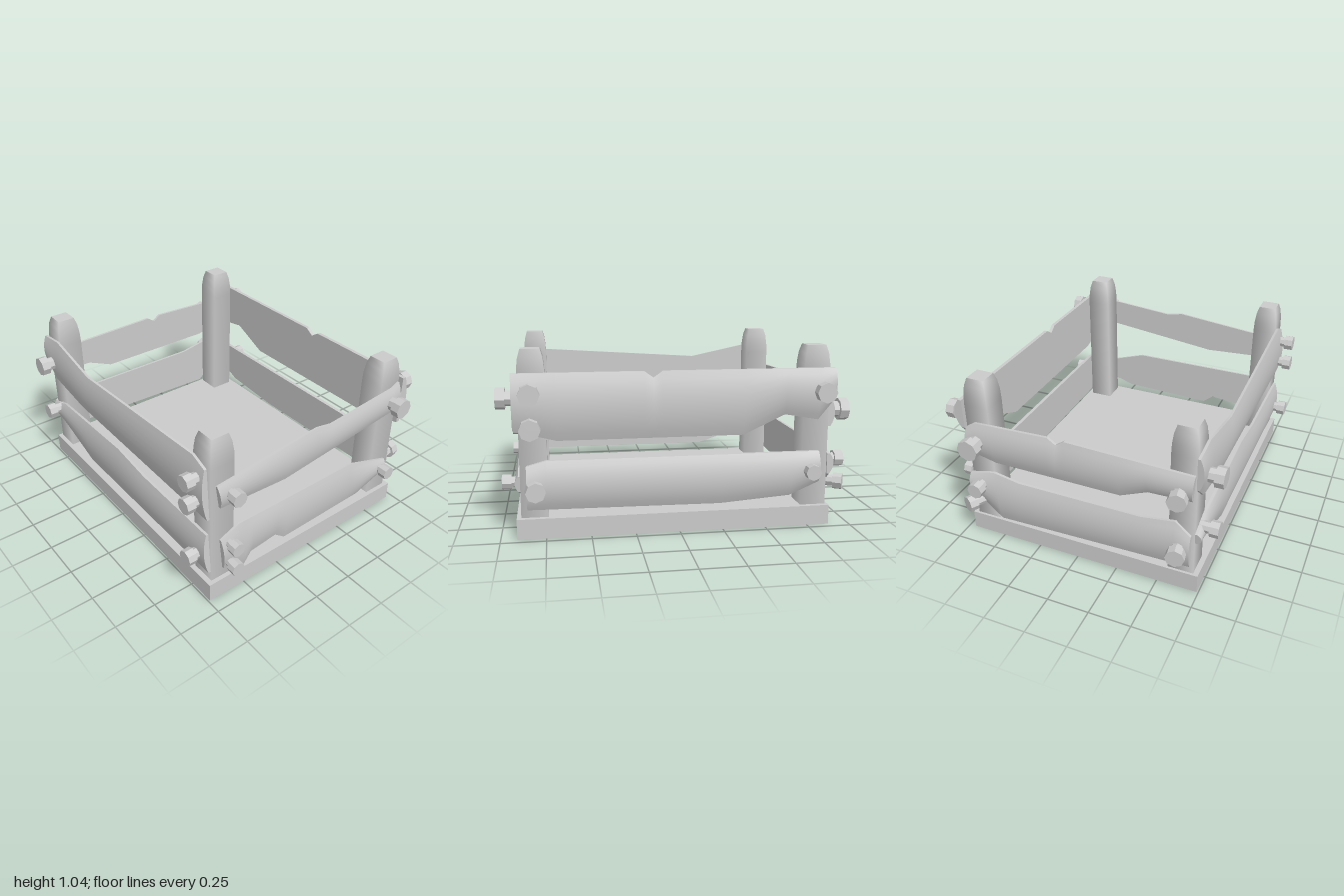
import * as THREE from 'three';
import { toCreasedNormals } from 'three/addons/utils/BufferGeometryUtils.js';

const material = new THREE.MeshStandardMaterial({ color: 0xcccccc });
const flatMaterial = new THREE.MeshStandardMaterial({ color: 0xcccccc, flatShading: true });

function addMesh(parent, name, geometry, mat = material) {
  const mesh = new THREE.Mesh(geometry, mat);
  mesh.name = name;
  parent.add(mesh);
  return mesh;
}

// Point on a left-to-right edge line, held at its ends.
function edgeAt(line, u) {
  const last = line[line.length - 1];
  if (u <= line[0][0]) return line[0];
  if (u >= last[0]) return last;
  const k = line.findIndex(p => p[0] >= u);
  const [a, b] = [line[k - 1], line[k]];
  return [u, a[1] + (b[1] - a[1]) * (u - a[0]) / (b[0] - a[0])];
}

// V-shaped split in an edge line.
const notch = (u, v) => [[u - 0.05, v], [u, v - 0.035], [u + 0.05, v]];

// Rough plank between a top and a bottom edge line: flat back, bulging face.
function plankGeometry(top, bottom, thickness) {
  const rows = 8;
  const us = [...new Set([...top, ...bottom].map(p => p[0]))].sort((a, b) => a - b);
  const rings = us.map(u => {
    const t = edgeAt(top, u), b = edgeAt(bottom, u), ring = [];
    for (let j = 0; j <= rows; j++) {
      const s = j / rows, bulge = 1 - (2 * s - 1) ** 2;
      ring.push([b[0] + (t[0] - b[0]) * s, b[1] + (t[1] - b[1]) * s, thickness * (0.4 + 0.6 * bulge)]);
    }
    ring.push([t[0], t[1], 0], [b[0], b[1], 0]);
    return ring;
  });
  const pos = [];
  const tri = (a, b, c) => pos.push(...a, ...b, ...c);
  const n = rings[0].length, end = rings[rings.length - 1];
  for (let i = 0; i < rings.length - 1; i++) {
    for (let j = 0; j < n; j++) {
      const k = (j + 1) % n, p = rings[i], q = rings[i + 1];
      tri(p[j], q[j], q[k]);
      tri(p[j], q[k], p[k]);
    }
  }
  for (let j = 1; j < n - 1; j++) {
    tri(rings[0][n - 1], rings[0][j - 1], rings[0][j]);
    tri(end[n - 1], end[j], end[j - 1]);
  }
  const g = new THREE.BufferGeometry();
  g.setAttribute('position', new THREE.Float32BufferAttribute(pos, 3));
  g.computeVertexNormals();
  return toCreasedNormals(g, 0.6);
}

// One side of the crate, drawn as seen from outside: (along, height).
function addSide(model, name, turn, distance, thickness) {
  const wall = new THREE.Group();
  wall.name = name + 'Side';
  wall.rotation.y = turn;
  wall.position.set(Math.sin(turn) * distance, 0, Math.cos(turn) * distance);
  model.add(wall);
  return {
    plank(level, top, bottom) {
      addMesh(wall, name + level + 'Plank', plankGeometry(top, bottom, thickness));
    },
    // Eight-sided peg: narrow neck and wide head
    peg(u, v, r, tilt = 0) {
      const peg = new THREE.Group();
      peg.name = 'peg';
      const neckLength = thickness * 1.25 + r - 0.033;
      const neck = new THREE.CylinderGeometry(r * 0.7, r * 0.7, neckLength, 8).rotateX(Math.PI / 2);
      const head = new THREE.CylinderGeometry(r, r, 0.052, 8).rotateX(Math.PI / 2);
      addMesh(peg, 'pegNeck', neck.translate(0, 0, neckLength / 2), flatMaterial);
      addMesh(peg, 'pegHead', head.translate(0, 0, neckLength + 0.026), flatMaterial);
      peg.position.set(u, v, 0);
      peg.rotation.y = tilt;
      wall.add(peg);
    },
  };
}

function addFront(model) {
  const side = addSide(model, 'front', 0, 0.885, 0.032);
  side.plank('Upper',
    [[-0.68, 0.77], [0.01, 0.84], [0.12, 0.82], [0.62, 0.865], [0.67, 0.89]],
    [[-0.66, 0.62], [-0.21, 0.595], [0.69, 0.7]]);
  side.plank('Lower',
    [[-0.655, 0.39], [-0.53, 0.445], [0.32, 0.445], [0.64, 0.34]],
    [[-0.635, 0.175], [-0.49, 0.12], [-0.44, 0.19], [-0.26, 0.21], [-0.19, 0.155], [0.41, 0.175], [0.63, 0.25]]);
  side.peg(-0.6, 0.705, 0.045);
  side.peg(0.61, 0.775, 0.06);
  for (const v of [0.215, 0.355]) side.peg(-0.6, v, 0.042);
  side.peg(0.59, 0.3, 0.042);
}

function addLeft(model) {
  const side = addSide(model, 'left', Math.PI / 2, 0.68, 0.055);
  side.plank('Upper',
    [[-0.915, 0.92], ...notch(-0.15, 0.92), [0.89, 0.92]],
    [[-0.915, 0.61], [-0.68, 0.55], [0.36, 0.55], [0.6, 0.66], [0.795, 0.625], [0.89, 0.74]]);
  side.plank('Lower',
    [[-0.85, 0.41], [-0.74, 0.44], [0.81, 0.44]],
    [[-0.85, 0.165], [0.23, 0.155], [0.64, 0.185], [0.815, 0.26]]);
  for (const v of [0.635, 0.82]) side.peg(-0.82, v, 0.058);
  side.peg(0.8, 0.795, 0.058);
  side.peg(-0.82, 0.295, 0.055, 0.15);
  side.peg(0.745, 0.34, 0.045);
}

function addBack(model) {
  const side = addSide(model, 'back', Math.PI, 0.865, 0.04);
  side.plank('Upper',
    [[-0.68, 0.74], [-0.62, 0.78], ...notch(-0.1, 0.8), [0.7, 0.78]],
    [[-0.68, 0.58], [-0.5, 0.54], [0.28, 0.54], [0.44, 0.61], [0.69, 0.62]]);
  side.plank('Lower',
    [[-0.69, 0.42], [-0.53, 0.46], [-0.36, 0.43], [0.4, 0.43], [0.6, 0.46], [0.69, 0.38]],
    [[-0.69, 0.3], [-0.5, 0.135], [0.69, 0.17]]);
  side.peg(-0.605, 0.665, 0.065);
  side.peg(0.62, 0.67, 0.055, 0.15);
  side.peg(-0.605, 0.37, 0.048);
  side.peg(-0.62, 0.245, 0.048, -0.5);
  side.peg(0.62, 0.3, 0.055, 0.15);
}

function addRight(model) {
  const side = addSide(model, 'right', -Math.PI / 2, 0.71, 0.038);
  side.plank('Upper',
    [[-0.89, 0.9], [-0.72, 0.92], [-0.34, 0.84], [0.75, 0.91], [0.85, 0.87]],
    [[-0.88, 0.7], [-0.8, 0.62], [-0.45, 0.57], [0.87, 0.55]]);
  side.plank('Lower',
    [[-0.87, 0.4], [-0.72, 0.455], [-0.03, 0.485], [0.25, 0.45], [0.86, 0.44]],
    [[-0.86, 0.33], [-0.4, 0.18], [0.88, 0.18]]);
  for (const v of [0.285, 0.65, 0.8]) side.peg(0.8, v, 0.048);
  side.peg(-0.785, 0.75, 0.06);
  side.peg(-0.785, 0.4, 0.048);
}

export function createModel() {
  const model = new THREE.Group();
  model.name = 'crate';

  // Floor board
  addMesh(model, 'floor', new THREE.BoxGeometry(1.45, 0.115, 1.79)).position.set(-0.015, 0.0575, 0.015);

  // Square corner posts with softened sides and tapered tops
  const profile = [[0.075, 0.1], [0.075, 0.88], [0.073, 0.94], [0.066, 1.0], [0.053, 1.045]]
    .map(([half, y]) => new THREE.Vector2(half * Math.SQRT2, y));
  for (const x of [-0.635, 0.605]) {
    for (const z of [-0.79, 0.81]) {
      const post = new THREE.Group();
      post.name = 'cornerPost';
      addMesh(post, 'postShaft', new THREE.LatheGeometry(profile, 4).rotateY(Math.PI / 4));
      addMesh(post, 'postTop', new THREE.PlaneGeometry(0.106, 0.106).rotateX(-Math.PI / 2)).position.y = 1.045;
      post.position.set(x, 0, z);
      model.add(post);
    }
  }

  // Two pegged planks on every side
  for (const addWall of [addFront, addLeft, addBack, addRight]) addWall(model);
  return model;
}
